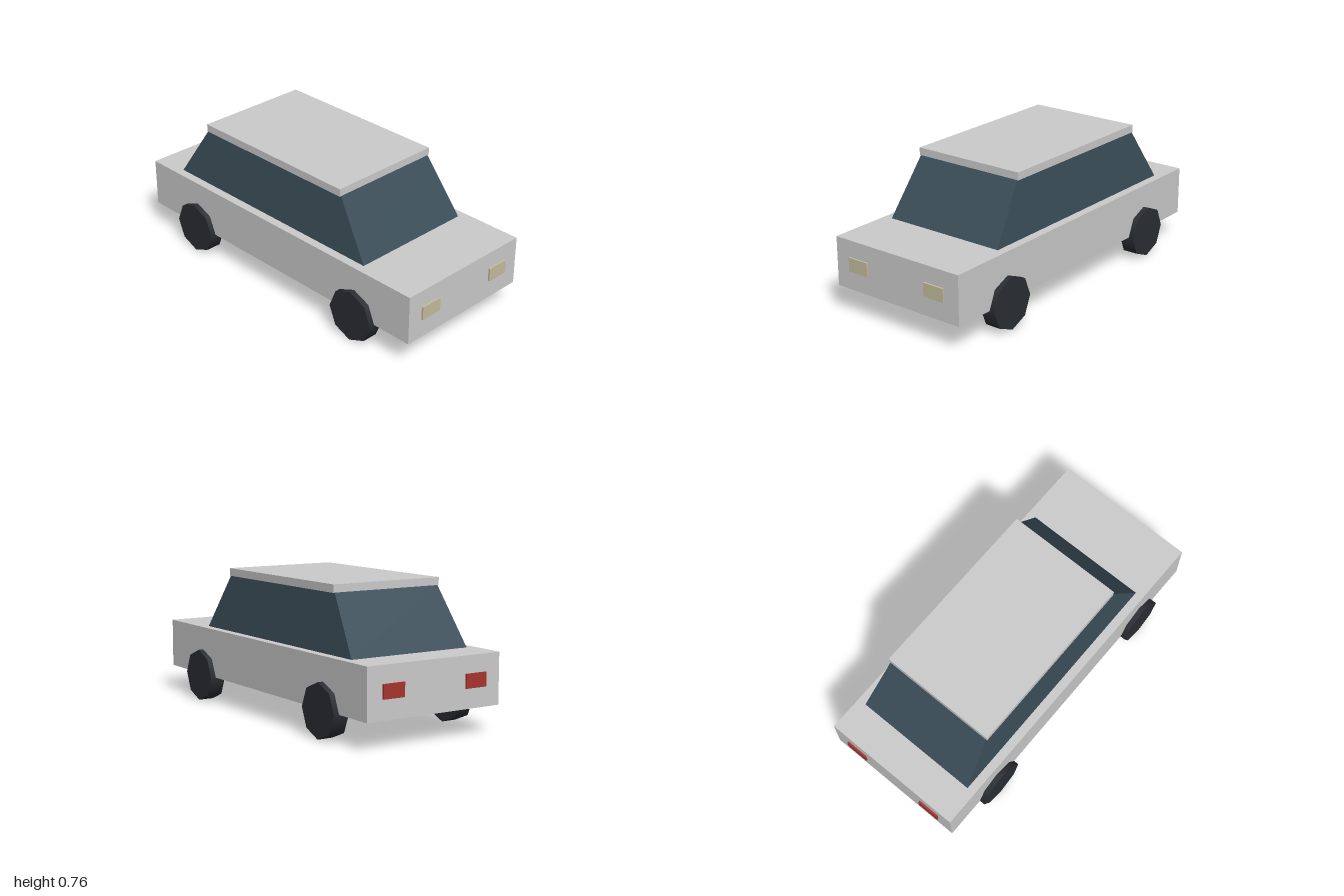
import * as THREE from 'three';

const paint = (color) => new THREE.MeshStandardMaterial({ color });

export function createModel() {
  const car = new THREE.Group();
  car.name = 'car';
  const grey = paint(0xcccccc);
  const glass = paint(0x3a4d58);
  glass.flatShading = true;
  const rubber = paint(0x2a2d32);
  const cream = paint(0xc4bd9d);
  const red = paint(0xa8342e);

  const add = (name, geometry, material, x, y, z) => {
    const mesh = new THREE.Mesh(geometry, material);
    mesh.name = name;
    mesh.position.set(x, y, z);
    car.add(mesh);
    return mesh;
  };

  // Lower body and roof slab
  add('body', new THREE.BoxGeometry(0.81, 0.27, 1.98), grey, 0, 0.281, 0);
  add('roof', new THREE.BoxGeometry(0.658, 0.042, 1.028), grey, 0, 0.74, -0.08);

  // Glass cabin: a box tapered towards the roof
  const cabin = new THREE.BoxGeometry(0.714, 0.305, 1.428);
  const p = cabin.attributes.position;
  for (let i = 0; i < p.count; i++) {
    if (p.getY(i) > 0) {
      p.setX(i, Math.sign(p.getX(i)) * 0.321);
      p.setZ(i, Math.sign(p.getZ(i)) * 0.514);
    }
  }
  cabin.computeVertexNormals();
  add('cabin', cabin, glass, 0, 0.5675, -0.08);

  // Eight-sided wheels and the lamps, mirrored left and right, front and rear
  const wheel = new THREE.CylinderGeometry(0.144, 0.144, 0.088, 8);
  wheel.rotateZ(Math.PI / 2);
  const lamp = new THREE.BoxGeometry(0.126, 0.074, 0.02);
  for (const [side, sx] of [['left', 1], ['right', -1]]) {
    for (const [end, sz] of [['Front', 1], ['Rear', -1]]) {
      add(`${side}${end}Wheel`, wheel, rubber, sx * 0.391, 0.144, sz * 0.615);
      add(side + (sz > 0 ? 'Headlight' : 'TailLight'), lamp, sz > 0 ? cream : red,
        sx * 0.252, 0.287, sz * 0.99);
    }
  }
  return car;
}
